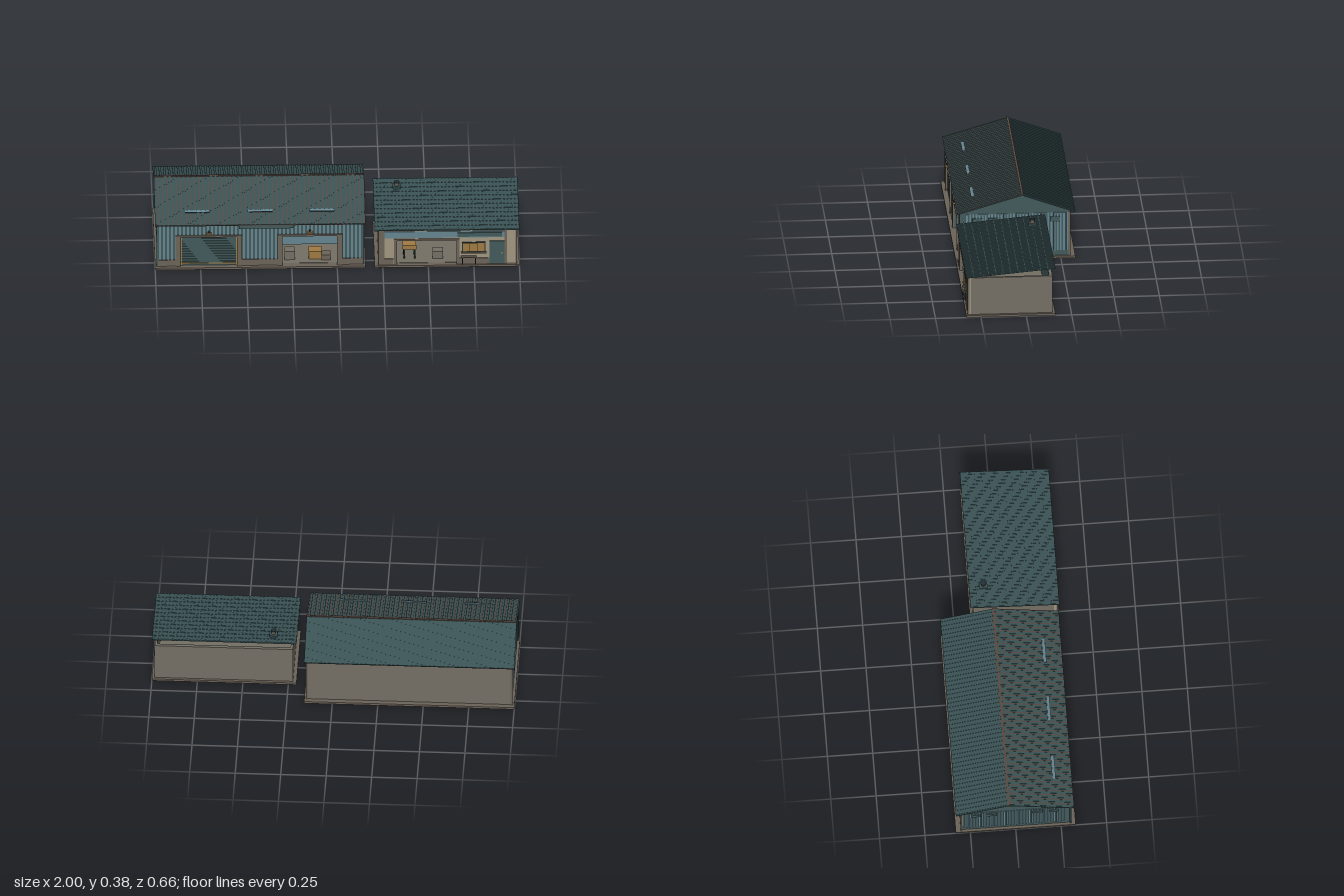
import * as THREE from 'three';

const M = (name, color) => Object.assign(new THREE.MeshStandardMaterial({ color }), { name });
const mats = {
  concrete: M('grey concrete', 0x746f64),
  plaster: M('beige plaster', 0x9f957f),
  slab: M('taupe slab', 0x6b6358),
  teal: M('dark teal sheet', 0x435a5b),
  blue: M('pale blue sheet', 0x658490),
  roof: M('roof sheet', 0x3a5254),
  rust: M('rust', 0x594840),
  wood: M('ochre wood', 0xa07a42),
  dark: M('dark iron', 0x253133),
};

// box from its limits on each axis
function box(parent, name, mat, x0, x1, y0, y1, z0, z1) {
  const m = new THREE.Mesh(new THREE.BoxGeometry(x1 - x0, y1 - y0, z1 - z0), mats[mat]);
  m.position.set((x0 + x1) / 2, (y0 + y1) / 2, (z0 + z1) / 2);
  m.name = name;
  parent.add(m);
  return m;
}

function group(parent, name) {
  const g = new THREE.Group();
  g.name = name;
  parent.add(g);
  return g;
}

// tilted sheet whose top runs from (za, ya) to (zb, yb), with raised ribs
function roofSheet(parent, name, x0, x1, za, ya, zb, yb, pitch, rusty) {
  const g = group(parent, name);
  const L = Math.hypot(zb - za, yb - ya);
  g.position.set(0, (ya + yb) / 2, (za + zb) / 2);
  g.rotation.x = Math.atan2(ya - yb, zb - za);
  box(g, 'roofPanel', 'roof', x0, x1, -0.008, -0.002, -L / 2, L / 2);
  const n = Math.round((x1 - x0) / pitch);
  const p = (x1 - x0) / n;
  for (let i = 0; i < n; i++) {
    const x = x0 + (i + 0.5) * p;
    box(g, 'roofRib', 'roof', x - p * 0.25, x + p * 0.25, -0.003, 0.001, -L / 2, L / 2);
    if (rusty) box(g, 'rustSeam', 'rust', x + p * 0.3, x + p * 0.5, -0.003, -0.001, -L / 2, L / 2);
  }
  return { g, L };
}

function addWarehouse(root) {
  const g = group(root, 'warehouse');
  box(g, 'warehouseSlab', 'slab', -1, 0.155, 0, 0.012, -0.33, 0.33);
  box(g, 'backWall', 'concrete', -0.985, 0.14, 0.012, 0.275, -0.302, -0.288);
  box(g, 'backLining', 'teal', -0.97, 0.125, 0.012, 0.275, -0.288, -0.283);

  // gable ends, with pale ribs and high vents
  const s = new THREE.Shape();
  s.moveTo(-0.3, 0.012);
  s.lineTo(0.298, 0.012);
  s.lineTo(0.298, 0.27);
  s.lineTo(-0.0375, 0.375);
  s.lineTo(-0.3, 0.274);
  s.closePath();
  const gable = new THREE.ExtrudeGeometry(s, { depth: 0.012, bevelEnabled: false });
  gable.rotateY(-Math.PI / 2); // shape x becomes z, depth runs to -x
  for (const [x, d] of [[0.14, 1], [-0.985, -1]]) {
    const wall = new THREE.Mesh(gable, mats.teal);
    wall.name = 'gableWall';
    wall.position.x = d > 0 ? x : x + 0.012;
    g.add(wall);
    const xa = Math.min(x, x + d * 0.004), xb = Math.max(x, x + d * 0.004);
    for (let z = -0.285; z < 0.28; z += 0.0172)
      box(g, 'gableRib', 'blue', xa, xb, 0.043, 0.266, z - 0.0045, z + 0.0045);
    for (const z of [-0.218, -0.132, 0.122, 0.209])
      box(g, 'gableVent', 'teal', Math.min(x, x + d * 0.008), Math.max(x, x + d * 0.008), 0.215, 0.243, z - 0.028, z + 0.028);
    for (const z of [-0.299, 0.303])
      box(g, 'cornerPost', z < 0 ? 'slab' : 'teal', x - 0.006, x + 0.006, 0.012, 0.272, z - 0.005, z + 0.005);
  }

  // front wall around the two bays
  const bays = [[-0.86, -0.55], [-0.3, 0]];
  for (const [a, b] of [[-0.985, -0.86], [-0.55, -0.3], [0, 0.14]]) {
    box(g, 'frontWall', 'teal', a, b, 0.012, 0.2, 0.29, 0.303);
    box(g, 'frontPlinth', 'slab', a, b, 0.012, 0.05, 0.303, 0.309);
  }
  box(g, 'frontHeader', 'teal', -0.985, 0.14, 0.2, 0.272, 0.29, 0.303);
  for (let x = -0.974; x < 0.135; x += 0.022) {
    const over = bays.some(([a, b]) => x > a - 0.01 && x < b + 0.01);
    box(g, 'frontRib', 'blue', x - 0.0055, x + 0.0055, over ? 0.205 : 0.05, 0.27, 0.303, 0.307);
  }
  for (const [a, b] of bays) {
    box(g, 'bayPost', 'slab', a - 0.028, a, 0.012, 0.2, 0.29, 0.314);
    box(g, 'bayPost', 'slab', b, b + 0.028, 0.012, 0.2, 0.29, 0.314);
    box(g, 'bayLintel', 'slab', a - 0.028, b + 0.028, 0.195, 0.205, 0.29, 0.314);
    const c = (a + b) / 2;
    box(g, 'lampArm', 'dark', c - 0.004, c + 0.004, 0.226, 0.232, 0.305, 0.322);
    box(g, 'lamp', 'wood', c - 0.014, c + 0.014, 0.217, 0.226, 0.312, 0.326);
  }

  // closed shutter on one bay, half-raised shutter on the other
  box(g, 'closedShutter', 'teal', -0.86, -0.55, 0.012, 0.196, 0.292, 0.3);
  for (let y = 0.03; y < 0.19; y += 0.016)
    box(g, 'shutterSlat', 'teal', -0.855, -0.555, y, y + 0.008, 0.3, 0.303);
  for (const x of [-0.858, -0.556]) box(g, 'shutterTrack', 'wood', x, x + 0.005, 0.012, 0.195, 0.3, 0.305);
  box(g, 'shutterFoot', 'wood', -0.86, -0.55, 0.024, 0.029, 0.3, 0.305);
  box(g, 'raisedShutter', 'blue', -0.3, 0, 0.137, 0.196, 0.294, 0.3);
  box(g, 'floor', 'concrete', -0.97, 0.125, 0.012, 0.014, -0.283, 0.29);

  // stored crates
  box(g, 'crate', 'concrete', -0.288, -0.232, 0.014, 0.066, 0.2, 0.256);
  box(g, 'woodCrate', 'wood', -0.155, -0.085, 0.014, 0.062, 0.19, 0.25);
  box(g, 'smallCrate', 'slab', -0.085, -0.035, 0.014, 0.048, 0.22, 0.265);

  box(g, 'signBoard', 'teal', -0.54, -0.24, 0.248, 0.272, 0.307, 0.315);

  // roof
  const front = roofSheet(g, 'frontRoof', -1, 0.155, -0.0375, 0.383, 0.322, 0.277, 0.025, true);
  for (const x of [-0.767, -0.422, -0.083]) {
    const v = group(front.g, 'roofVent');
    box(v, 'ventBase', 'blue', x - 0.068, x + 0.068, 0, 0.004, 0.075, 0.09);
    box(v, 'ventLip', 'dark', x - 0.068, x + 0.068, 0, 0.004, 0.09, 0.093);
  }
  roofSheet(g, 'backRoof', -1, 0.155, -0.33, 0.277, -0.0375, 0.383, 0.025, false);
  box(g, 'ridgeCap', 'rust', -1, 0.155, 0.38, 0.385, -0.044, -0.032);
  box(g, 'eaveTrim', 'rust', -1, 0.155, 0.27, 0.276, 0.315, 0.321);
}

function addShop(root) {
  const g = group(root, 'shop');
  const top = 0.227;
  box(g, 'shopSlab', 'slab', 0.205, 1, 0, 0.012, -0.16, 0.33);
  box(g, 'backWall', 'concrete', 0.225, 0.985, 0.012, top, -0.145, -0.131);
  box(g, 'backLining', 'teal', 0.239, 0.971, 0.012, top, -0.131, -0.126);
  for (const x of [0.225, 0.971]) box(g, 'sideWall', 'concrete', x, x + 0.014, 0.012, top, -0.131, 0.302);
  box(g, 'floor', 'concrete', 0.239, 0.971, 0.012, 0.014, -0.126, 0.302);

  // front wall around the open bay
  box(g, 'frontWall', 'plaster', 0.225, 0.325, 0.012, top, 0.302, 0.316);
  box(g, 'frontWall', 'plaster', 0.66, 0.985, 0.012, top, 0.302, 0.316);
  box(g, 'frontHeader', 'plaster', 0.325, 0.66, 0.165, top, 0.302, 0.316);
  box(g, 'fasciaBand', 'blue', 0.26, 0.918, 0.18, 0.22, 0.316, 0.32);
  box(g, 'signBoard', 'teal', 0.66, 0.905, 0.188, 0.213, 0.32, 0.326);
  box(g, 'frontPlinth', 'slab', 0.66, 0.837, 0.012, 0.05, 0.316, 0.32);
  box(g, 'frontPlinth', 'slab', 0.26, 0.31, 0.012, 0.05, 0.316, 0.32);
  for (const [a, b] of [[0.225, 0.258], [0.917, 0.932], [0.978, 0.988]])
    box(g, 'frontPost', 'slab', a, b, 0.012, top, 0.312, 0.322);
  for (const x of [0.312, 0.655]) box(g, 'bayJamb', 'slab', x, x + 0.015, 0.012, 0.17, 0.3, 0.321);
  box(g, 'bayLintel', 'slab', 0.312, 0.67, 0.163, 0.173, 0.3, 0.321);

  // three-pane window with a bench below
  box(g, 'windowFrame', 'dark', 0.684, 0.814, 0.09, 0.15, 0.316, 0.321);
  for (let i = 0; i < 3; i++)
    box(g, 'windowPane', 'wood', 0.689 + i * 0.041, 0.727 + i * 0.041, 0.095, 0.145, 0.321, 0.324);
  box(g, 'windowSill', 'slab', 0.68, 0.818, 0.083, 0.09, 0.316, 0.328);
  box(g, 'benchSeat', 'slab', 0.68, 0.765, 0.056, 0.063, 0.316, 0.33);
  for (const x of [0.684, 0.755]) box(g, 'benchLeg', 'dark', x, x + 0.006, 0.012, 0.056, 0.318, 0.328);

  // door
  box(g, 'door', 'teal', 0.837, 0.917, 0.014, 0.157, 0.316, 0.322);
  box(g, 'doorHandle', 'wood', 0.9, 0.906, 0.078, 0.088, 0.322, 0.326);

  // work table and crate
  box(g, 'tableTop', 'wood', 0.36, 0.435, 0.072, 0.098, 0.2, 0.26);
  for (const x of [0.364, 0.422])
    for (const z of [0.204, 0.248]) box(g, 'tableLeg', 'dark', x, x + 0.008, 0.014, 0.072, z, z + 0.008);
  box(g, 'crate', 'concrete', 0.525, 0.583, 0.014, 0.058, 0.21, 0.26);

  // lean-to roof with cross seams and a flue
  const { g: r, L } = roofSheet(g, 'shopRoof', 0.205, 1, -0.16, 0.283, 0.33, 0.239, 0.02, false);
  for (let i = 1; i < 12; i++) {
    const z = -L / 2 + (i * L) / 12;
    box(r, 'roofSeam', 'roof', 0.205, 1, -0.003, 0.0015, z - 0.003, z + 0.003);
  }
  box(g, 'flueBase', 'roof', 0.313, 0.357, 0.272, 0.286, -0.102, -0.058);
  const flue = new THREE.Mesh(new THREE.CylinderGeometry(0.012, 0.012, 0.022, 12), mats.slab);
  flue.name = 'flue';
  flue.position.set(0.335, 0.294, -0.08);
  g.add(flue);
  const cap = new THREE.Mesh(new THREE.CylinderGeometry(0.015, 0.015, 0.004, 12), mats.dark);
  cap.name = 'flueCap';
  cap.position.set(0.335, 0.306, -0.08);
  g.add(cap);
}

export function createModel() {
  const root = new THREE.Group();
  root.name = 'workshopBuildings';
  addWarehouse(root);
  addShop(root);
  return root;
}
